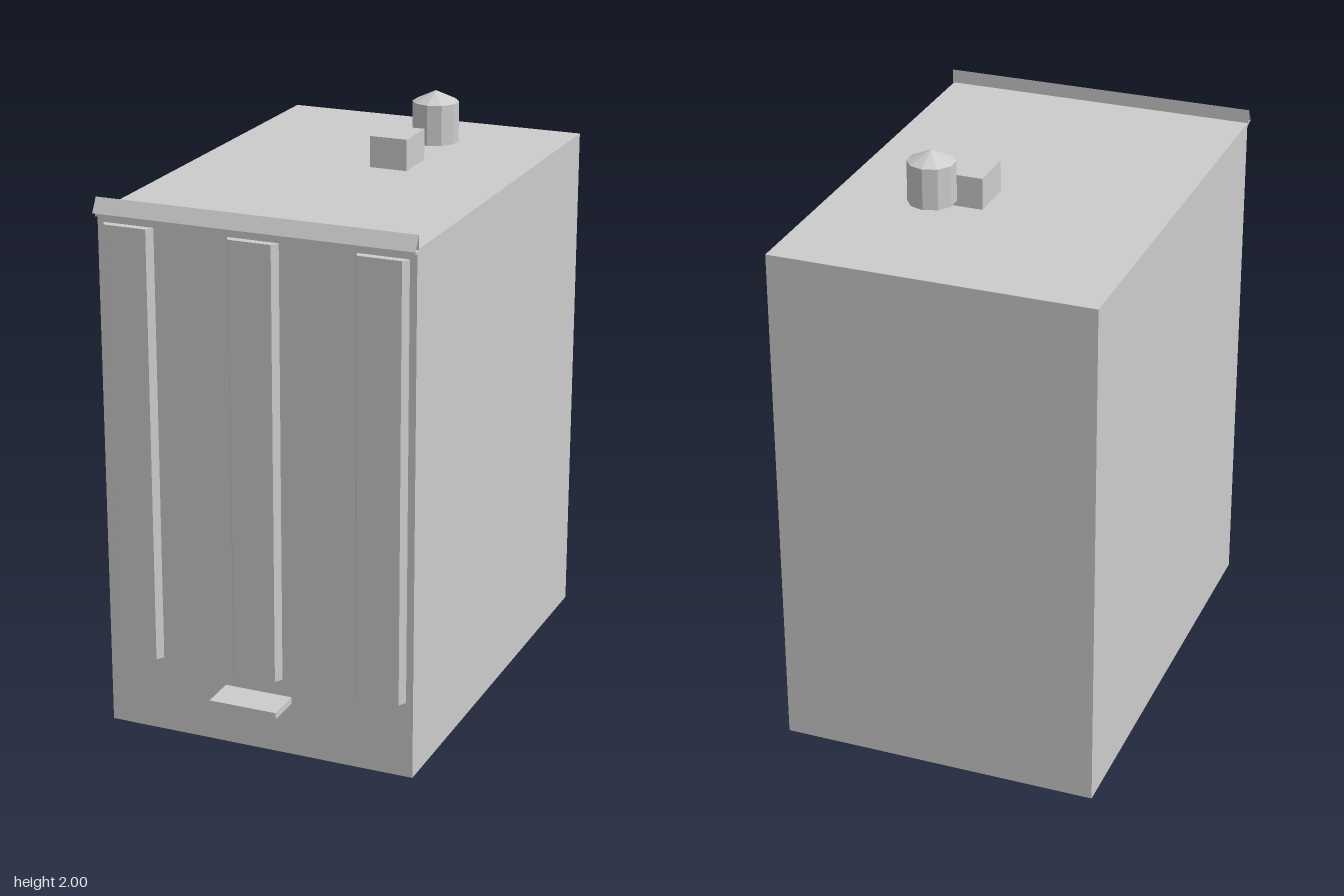
import * as THREE from 'three';

const FRONT = 0.711, ROOF = 1.778;

export function createModel() {
  const group = new THREE.Group();
  const grey = new THREE.MeshStandardMaterial({ color: 0xcccccc, side: THREE.DoubleSide, flatShading: true });
  grey.name = 'light grey';

  const add = (name, geometry, x, y, z) => {
    const mesh = new THREE.Mesh(geometry, grey);
    mesh.name = name;
    mesh.position.set(x, y, z);
    group.add(mesh);
    return mesh;
  };
  // box given by its minimum and maximum on each axis
  const addBox = (name, [x0, x1], [y0, y1], [z0, z1]) =>
    add(name, new THREE.BoxGeometry(x1 - x0, y1 - y0, z1 - z0), (x0 + x1) / 2, (y0 + y1) / 2, (z0 + z1) / 2);

  // building shell: four walls and a flat roof, open underneath
  const shell = addBox('buildingShell', [-0.543, 0.543], [0, ROOF], [-0.836, FRONT]);
  const index = Array.from(shell.geometry.index.array);
  index.splice(18, 6); // bottom face
  shell.geometry.setIndex(index);
  shell.geometry.clearGroups();

  // three pilasters with bevelled sides
  for (const x of [-0.434, -0.003, 0.431]) {
    const section = new THREE.Shape([
      new THREE.Vector2(-0.088, 0), new THREE.Vector2(0.088, 0),
      new THREE.Vector2(0.073, -0.027), new THREE.Vector2(-0.073, -0.027),
    ]);
    const pilaster = new THREE.ExtrudeGeometry(section, { depth: 1.482, bevelEnabled: false });
    pilaster.rotateX(-Math.PI / 2);
    add('pilaster', pilaster, x, 0.264, FRONT);
  }

  // cornice: sloped front, underside and upright back, open at the ends
  const profile = [[FRONT, 1.826], [0.738, ROOF], [FRONT, ROOF], [FRONT, 1.826]];
  const half = 0.547, points = [];
  for (let i = 0; i < profile.length - 1; i++) {
    const [z0, y0] = profile[i], [z1, y1] = profile[i + 1];
    points.push(-half, y0, z0, -half, y1, z1, half, y1, z1);
    points.push(-half, y0, z0, half, y1, z1, half, y0, z0);
  }
  const cornice = new THREE.BufferGeometry();
  cornice.setAttribute('position', new THREE.Float32BufferAttribute(points, 3));
  cornice.computeVertexNormals();
  add('cornice', cornice, 0, 0, 0);
  addBox('corniceMoulding', [-0.543, 0.543], [1.766, ROOF], [FRONT, 0.728]);

  // door step
  addBox('doorStep', [-0.12, 0.117], [0.183, 0.206], [FRONT, 0.836]);

  // rooftop unit and small water tank with a conical lid
  addBox('rooftopUnit', [0.041, 0.172], [ROOF, 1.885], [-0.287, -0.125]);
  add('tank', new THREE.CylinderGeometry(0.079, 0.079, 0.138, 10), 0.178, 1.894, -0.374);
  add('tankLid', new THREE.ConeGeometry(0.079, 0.037, 10, 1, true), 0.178, 1.9815, -0.374);

  return group;
}
